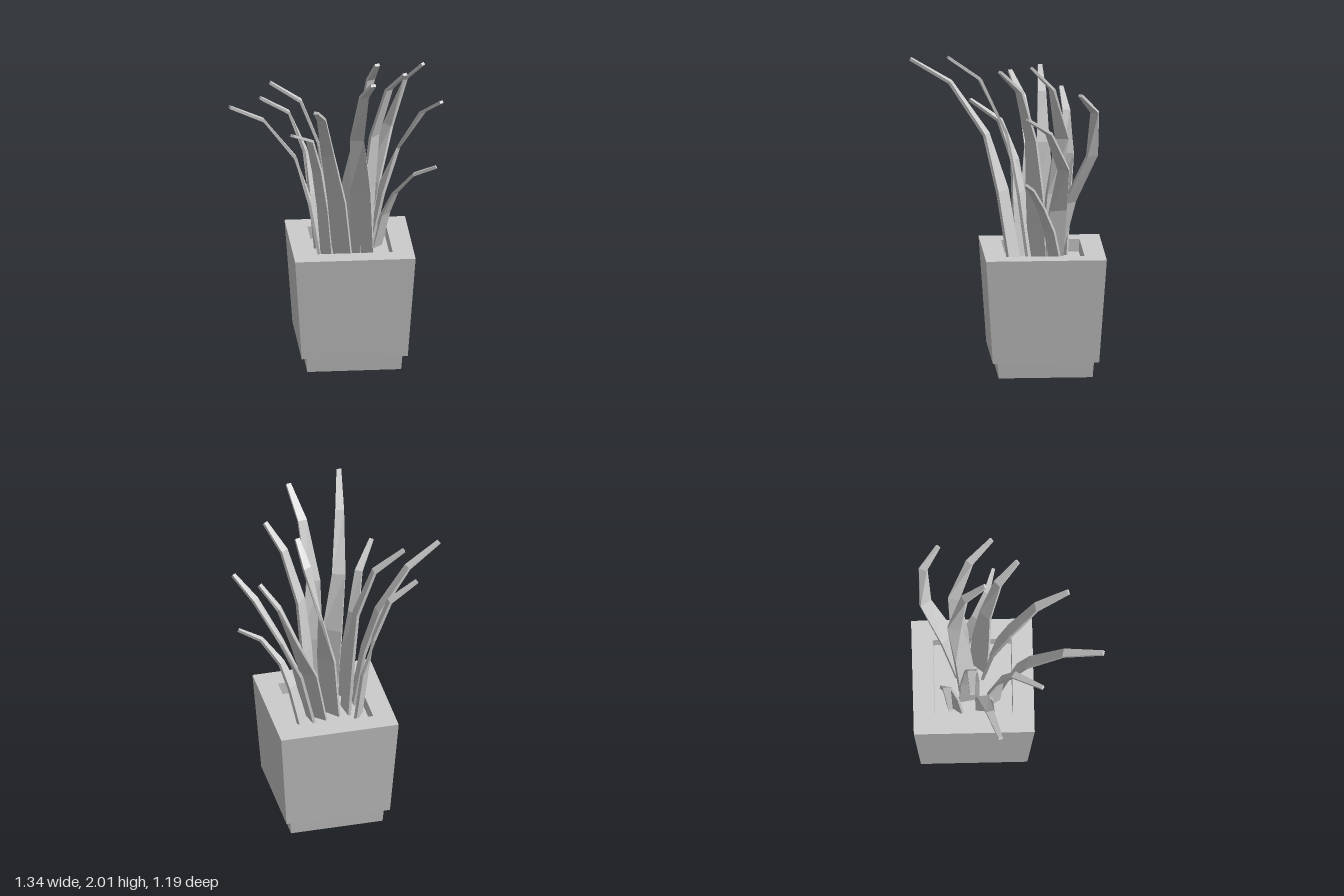
import * as THREE from 'three';

const material = new THREE.MeshStandardMaterial({ color: 0xcccccc, flatShading: true });
const POT_X = 0.0975, POT_Z = -0.22, SOIL_Y = 0.68, RIM_Y = 0.76;

// Square solid of revolution: profile of [half width, y], bottom to top on the outside
function squareLathe(name, profile) {
  const points = profile.map(([half, y]) => new THREE.Vector2(half * Math.SQRT2, y));
  const mesh = new THREE.Mesh(new THREE.LatheGeometry(points, 4, Math.PI / 4), material);
  mesh.name = name;
  mesh.position.set(POT_X, 0, POT_Z);
  return mesh;
}

// Centre line of a leaf: all leaves bend at the same fractions of their height
function leafPath(tipY, base, knee, bend, tip) {
  const at = ([x, z], f) => new THREE.Vector3(x, THREE.MathUtils.lerp(RIM_Y, tipY, f), z);
  const rim = at(base, 0), kneePoint = at(knee, 0.6);
  // The lower half rises steeply before leaning out
  const lower = rim.clone().lerp(kneePoint, 0.36).setY((rim.y + kneePoint.y) / 2);
  // Carry the lowest segment down to the soil
  const root = rim.clone().lerp(lower, (SOIL_Y - rim.y) / (lower.y - rim.y));
  return [root, rim, lower, kneePoint, at(bend, 0.88), at(tip, 1)];
}

// Tapered flat blade with a rectangular section swept along the path
function blade(path, scale) {
  const widths = [0.145, 0.14, 0.135, 0.09, 0.06, 0.032];
  const halfThickness = 0.009;
  const sections = path.map((p, i) => {
    const tangent = path[Math.min(i + 1, path.length - 1)].clone()
      .sub(path[Math.max(i - 1, 0)]).normalize();
    const across = new THREE.Vector3(tangent.z, 0, -tangent.x).normalize();
    const normal = tangent.clone().cross(across);
    return [[1, 1], [-1, 1], [-1, -1], [1, -1]].map(([a, b]) => p.clone()
      .addScaledVector(across, a * widths[i] * scale / 2)
      .addScaledVector(normal, b * halfThickness));
  });

  const corners = [];
  const quad = (a, b, c, d) => corners.push(a, b, c, a, c, d);
  for (let i = 0; i < sections.length - 1; i++) {
    for (let j = 0; j < 4; j++) {
      const k = (j + 1) % 4;
      quad(sections[i][j], sections[i][k], sections[i + 1][k], sections[i + 1][j]);
    }
  }
  quad(...sections[sections.length - 1]);
  quad(...sections[0].slice().reverse());

  const geometry = new THREE.BufferGeometry().setFromPoints(corners);
  geometry.computeVertexNormals();
  return new THREE.Mesh(geometry, material);
}

// Tip height, then [x, z] at the rim, knee, bend and tip
const LEAVES = [
  // leaning to the front
  [1.91, [0.03, -0.03], [-0.07, 0.12], [-0.13, 0.34], [-0.185, 0.585]],
  [2, [0.165, -0.13], [0.12, 0.01], [0.15, 0.175], [0.19, 0.375]],
  [1.95, [0.19, -0.18], [0.24, -0.14], [0.325, -0.06], [0.415, 0.065]],
  [1.62, [-0.06, -0.1], [-0.12, -0.06], [-0.175, 0.03], [-0.3, 0.205]],
  // leaning to the right
  [1.72, [-0.11, -0.15], [-0.25, -0.165], [-0.45, -0.125], [-0.665, -0.065]],
  [1.81, [-0.03, -0.245], [-0.095, -0.235], [-0.21, -0.235], [-0.4, -0.235]],
  [1.66, [-0.09, -0.34], [-0.17, -0.395], [-0.27, -0.39], [-0.45, -0.37]],
  // curling round the back and left
  [1.94, [0.08, -0.26], [0.16, -0.335], [0.23, -0.27], [0.26, -0.14]],
  [1.83, [0.18, -0.3], [0.36, -0.51], [0.47, -0.52], [0.57, -0.425]],
  [1.7, [0.23, -0.285], [0.41, -0.33], [0.55, -0.23], [0.655, -0.09]],
  [1.275, [0.285, -0.28], [0.375, -0.195], [0.485, -0.125], [0.62, -0.08]],
];

export function createModel() {
  const model = new THREE.Group();
  model.name = 'pottedPlant';

  // Planter: plinth, tapered pot with rim, recess and soil
  model.add(squareLathe('potBase', [[0, 0], [0.292, 0], [0.3, 0.1]]));
  model.add(squareLathe('pot', [
    [0, 0.1], [0.33, 0.1], [0.375, RIM_Y], [0.244, RIM_Y], [0.24, SOIL_Y], [0, SOIL_Y],
  ]));

  // Leaves: taller ones are broader
  const leaves = new THREE.Group();
  leaves.name = 'leaves';
  LEAVES.forEach(([tipY, ...points], i) => {
    const leaf = blade(leafPath(tipY, ...points), 0.5 * tipY - 0.03);
    leaf.name = `leaf${i + 1}`;
    leaves.add(leaf);
  });
  model.add(leaves);
  return model;
}
